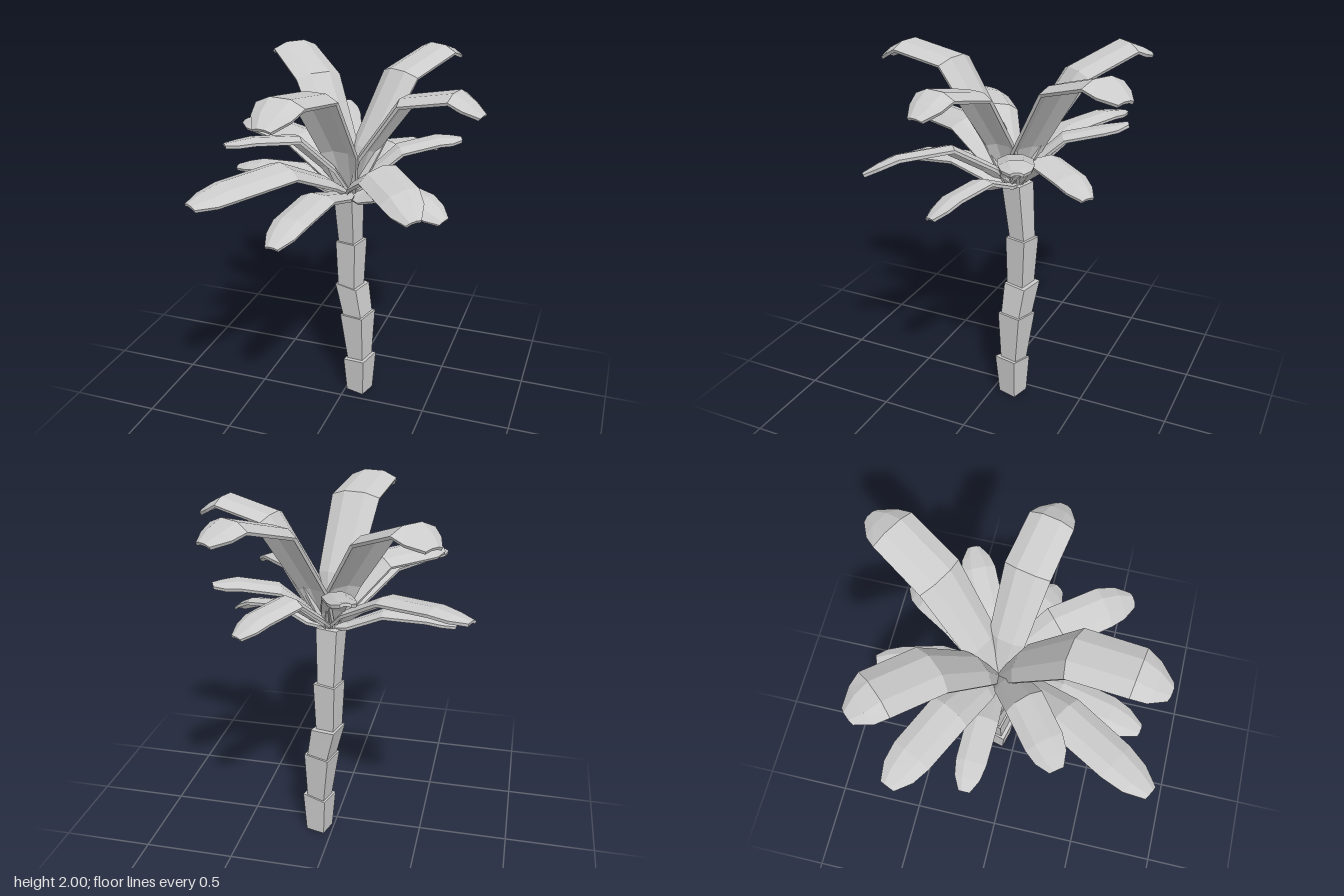
import * as THREE from 'three';

const material = new THREE.MeshStandardMaterial({ color: 0xcccccc, flatShading: true, side: THREE.DoubleSide });
const CROWN = new THREE.Vector3(0.02, 1.29, -0.08);

// One tapered square trunk block. Ends are [x, y, z, width]; slope tilts the top.
function trunkBlock(bottom, top, slope) {
  const geo = new THREE.CylinderGeometry(top[3] * 0.58, bottom[3] * 0.58, 1, 4).toNonIndexed();
  geo.rotateY(Math.PI / 4 - 0.26);
  const p = geo.attributes.position;
  for (let i = 0; i < p.count; i++) {
    const isTop = p.getY(i) > 0;
    const end = isTop ? top : bottom;
    const lift = isTop ? p.getX(i) * slope : 0;
    p.setXYZ(i, p.getX(i) + end[0], end[1] + lift, p.getZ(i) + end[2]);
  }
  geo.computeVertexNormals();
  return geo;
}

// Arched leaf: rings of eight points swept from the crown to a blunt tip.
// heights: at the lower bend, middle bend, outer bend and tip; roll twists it about its length.
function leafGeometry(tipX, tipZ, half, heights, roll, bends) {
  const dir = new THREE.Vector3(tipX - CROWN.x, 0, tipZ - CROWN.z);
  const level = new THREE.Vector3(dir.z, 0, -dir.x).normalize();
  const [h1, h2, h3, h4] = heights;
  const midTip = h3 + (h4 - h3) * 0.48;
  const stations = [[0, CROWN.y, 0.38], [bends[0], h1, 0.82], [bends[1], h2, 1],
    [bends[2], h3, 0.97], [bends[2] * 0.45 + 0.55, midTip, 0.8], [1, h4, 0.36]];
  const centres = stations.map(([f, y]) => new THREE.Vector3(CROWN.x + dir.x * f, y, CROWN.z + dir.z * f));
  const section = [[-1, -0.26], [-0.42, 0], [0.42, 0], [1, -0.26]];
  const thickness = 0.016;

  const verts = [];
  stations.forEach(([, , w], i) => {
    const tangent = centres[Math.min(i + 1, 5)].clone().sub(centres[Math.max(i - 1, 0)]).normalize();
    const side = level.clone().applyAxisAngle(tangent, roll);
    const up = new THREE.Vector3().crossVectors(tangent, side).normalize();
    const put = (s, d) => {
      const v = centres[i].clone().addScaledVector(side, s * half * w).addScaledVector(up, d);
      verts.push(v.x, v.y, v.z);
    };
    section.forEach(([s, d]) => put(s, d * half * w));
    [...section].reverse().forEach(([s, d]) => put(s * 0.95, d * half * w - thickness));
  });

  const index = [];
  for (let r = 0; r < 5; r++) {
    for (let k = 0; k < 8; k++) {
      const a = r * 8 + k, b = r * 8 + (k + 1) % 8;
      index.push(a, b, a + 8, b, b + 8, a + 8);
    }
  }
  // Close both ends
  for (let k = 0; k < 3; k++) {
    index.push(k, 7 - k, k + 1, k + 1, 7 - k, 6 - k);
    index.push(40 + k, 41 + k, 47 - k, 41 + k, 46 - k, 47 - k);
  }
  const geo = new THREE.BufferGeometry();
  geo.setAttribute('position', new THREE.Float32BufferAttribute(verts, 3));
  geo.setIndex(index);
  const flat = geo.toNonIndexed();
  flat.computeVertexNormals();
  return flat;
}

export function createModel() {
  const model = new THREE.Group();
  model.name = 'palmTree';
  const add = (parent, geo, name) => {
    const mesh = new THREE.Mesh(geo, material);
    mesh.name = name;
    parent.add(mesh);
  };

  // Trunk: five stacked blocks, each flaring upwards
  const trunk = new THREE.Group();
  trunk.name = 'trunk';
  const blocks = [
    [[0.08, 0.005, -0.11, 0.135], [0.08, 0.235, -0.105, 0.168], 0.15],
    [[0.077, 0.22, -0.112, 0.125], [0.06, 0.52, -0.12, 0.178], 0.08],
    [[0.06, 0.51, -0.12, 0.15], [0.02, 0.7, -0.135, 0.17], -0.06],
    [[0.017, 0.685, -0.125, 0.13], [0.015, 0.975, -0.13, 0.154], 0.04],
    [[0.012, 0.965, -0.13, 0.12], [0.008, 1.29, -0.097, 0.148], 0],
  ];
  blocks.forEach(([bottom, top, slope], i) => add(trunk, trunkBlock(bottom, top, slope), `trunkBlock${i + 1}`));
  model.add(trunk);

  // Leaves: tip x, tip z, half width, heights, roll
  const tiers = {
    upperLeaf: [
      [-0.11, 0.76, 0.135, [1.55, 1.92, 1.97, 1.87], 0],
      [0.755, 0.08, 0.12, [1.53, 1.86, 1.925, 1.83], 0],
      [0.425, -0.795, 0.13, [1.52, 1.9, 2.0, 1.93], 0],
      [-0.57, -0.61, 0.135, [1.54, 1.87, 1.99, 1.92], 0],
    ],
    middleLeaf: [
      [-0.745, -0.43, 0.11, [1.41, 1.54, 1.555, 1.525], -0.15],
      [-0.515, 0.33, 0.1, [1.45, 1.635, 1.65, 1.63], 0.2],
      [-0.475, 0.79, 0.115, [1.4, 1.535, 1.52, 1.475], -0.12],
      [0.535, 0.525, 0.11, [1.4, 1.53, 1.505, 1.425], 0.33],
      [0.565, -0.34, 0.09, [1.39, 1.54, 1.585, 1.575], 0],
      [-0.18, -0.63, 0.075, [1.42, 1.57, 1.615, 1.64], 0],
      [0.36, -0.62, 0.095, [1.38, 1.52, 1.49, 1.42], 0],
    ],
    lowerLeaf: [
      [-0.65, -0.09, 0.08, [1.32, 1.405, 1.4, 1.36], -0.1],
      [-0.11, 0.7, 0.1, [1.32, 1.39, 1.355, 1.275], 0],
      [0.595, 0.12, 0.1, [1.31, 1.38, 1.35, 1.275], 0.3],
    ],
  };
  for (const [name, leaves] of Object.entries(tiers)) {
    const tier = new THREE.Group();
    tier.name = `${name}Tier`;
    const bends = name === 'upperLeaf' ? [0.11, 0.42, 0.8] : [0.15, 0.43, 0.78];
    leaves.forEach(([x, z, half, heights, roll], i) =>
      add(tier, leafGeometry(x, z, half, heights, roll, bends), `${name}${i + 1}`));
    model.add(tier);
  }
  return model;
}
